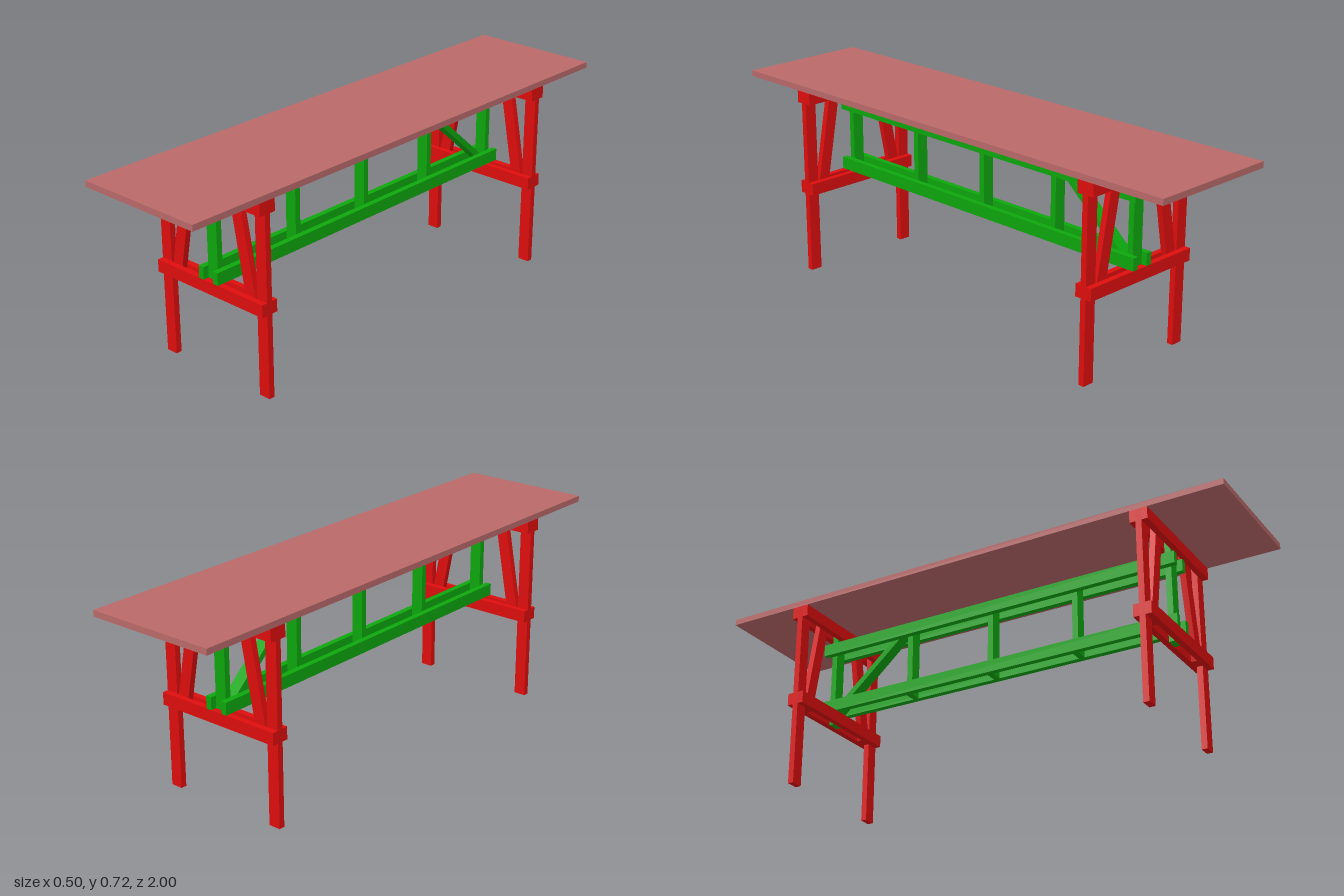
import * as THREE from 'three';

const T = 0.022;       // board thickness
const W = 0.045;       // board width
const HALF = 0.248;    // half width of the table
const TRESTLE_Z = 0.693;

const red = new THREE.MeshStandardMaterial({ color: 0xdd0d0d });
const green = new THREE.MeshStandardMaterial({ color: 0x0da60d });
const topColor = new THREE.MeshStandardMaterial({ color: 0xb96969 });

// Box given by its min and max corners
function board(name, material, [x0, y0, z0], [x1, y1, z1]) {
  const mesh = new THREE.Mesh(new THREE.BoxGeometry(x1 - x0, y1 - y0, z1 - z0), material);
  mesh.position.set((x0 + x1) / 2, (y0 + y1) / 2, (z0 + z1) / 2);
  mesh.name = name;
  return mesh;
}

// Flat outline extruded along z and centred on z = 0
function plate(name, material, points, depth) {
  const shape = new THREE.Shape(points.map(([x, y]) => new THREE.Vector2(x, y)));
  const geometry = new THREE.ExtrudeGeometry(shape, { depth, bevelEnabled: false });
  geometry.translate(0, 0, -depth / 2);
  const mesh = new THREE.Mesh(geometry, material);
  mesh.name = name;
  return mesh;
}

// End frame: legs and slanted braces sandwiched between paired rails
function trestle() {
  const group = new THREE.Group();
  group.name = 'trestle';
  for (const s of [-1, 1]) {
    const xc = s * (HALF - W / 2);
    group.add(board('leg', red, [xc - W / 2, 0, -T / 2], [xc + W / 2, 0.7, T / 2]));
    group.add(plate('slantedBrace', red,
      [[s * 0.203, 0.306], [s * 0.158, 0.306], [s * 0.084, 0.699], [s * 0.129, 0.699]], T));
    const zc = s * T;
    for (const [name, y] of [['lowerRail', 0.305], ['upperRail', 0.655]]) {
      group.add(board(name, red, [-HALF, y, zc - T / 2], [HALF, y + W, zc + T / 2]));
    }
  }
  group.add(board('endPost', green, [-W / 2, 0.306, -T / 2], [W / 2, 0.699, T / 2]));
  return group;
}

// Long truss: paired stringers with posts and one diagonal between them
function truss() {
  const group = new THREE.Group();
  group.name = 'truss';
  for (const s of [-1, 1]) {
    const xc = s * (W / 2 + T / 2);
    for (const [name, y] of [['lowerStringer', 0.35], ['upperStringer', 0.586]]) {
      group.add(board(name, green, [xc - T / 2, y, -0.726], [xc + T / 2, y + W, 0.726]));
    }
  }
  for (const z of [0.333, -0.008, -0.35]) {
    group.add(board('post', green, [-W / 2, 0.35, z - T / 2], [W / 2, 0.631, z + T / 2]));
  }
  // Outline is drawn in (-z, y), then turned to lie along the table
  const diagonal = plate('diagonalBrace', green,
    [[0.361, 0.63], [0.361, 0.621], [0.67, 0.35], [0.682, 0.35], [0.682, 0.367], [0.383, 0.63]], W);
  diagonal.rotation.y = Math.PI / 2;
  group.add(diagonal);
  return group;
}

export function createModel() {
  const model = new THREE.Group();
  model.name = 'trestleTable';
  model.add(board('tableTop', topColor, [-HALF, 0.7, -1], [HALF, 0.722, 1]));
  for (const s of [-1, 1]) {
    const end = trestle();
    end.position.z = s * TRESTLE_Z;
    model.add(end);
  }
  model.add(truss());
  return model;
}
